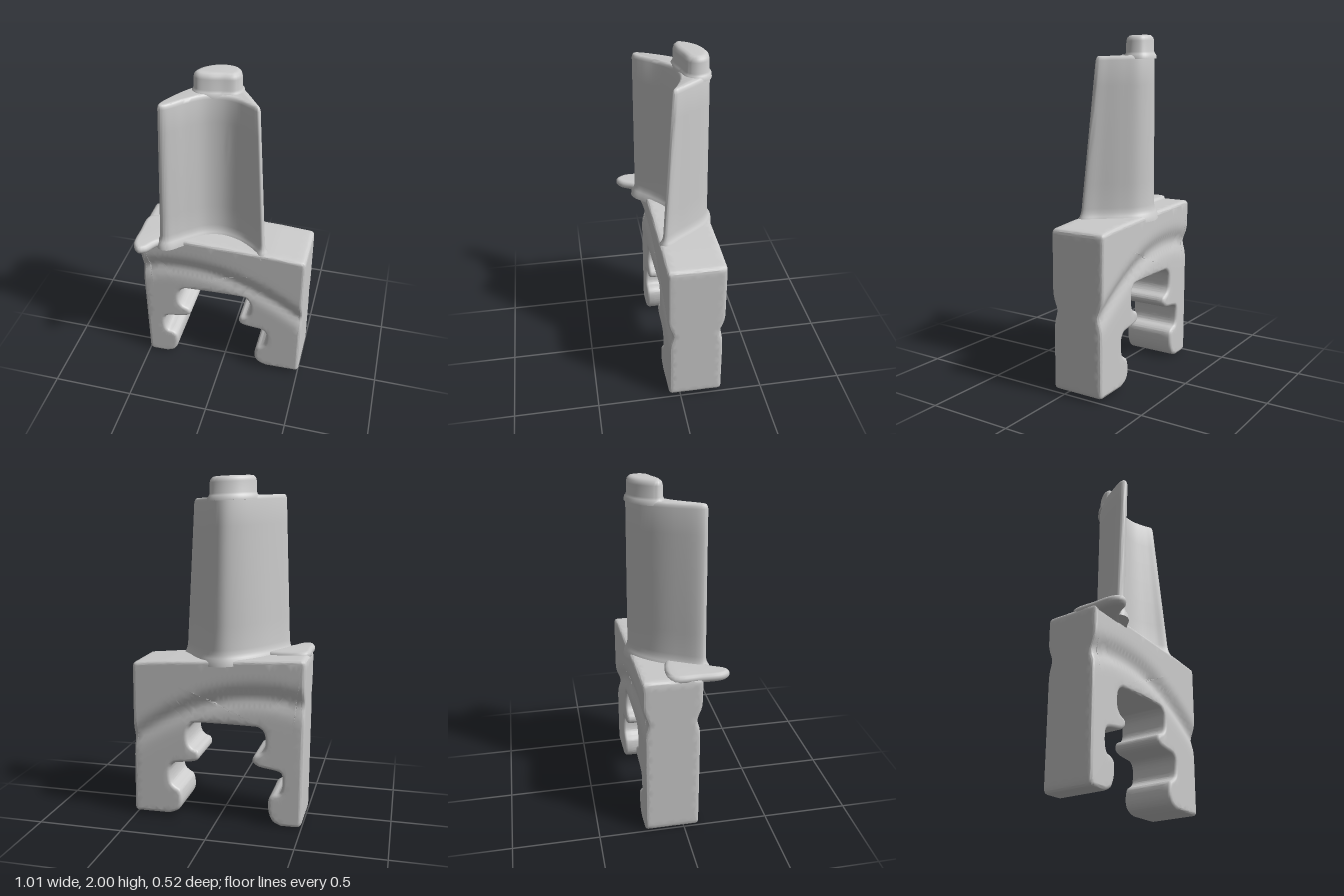
import * as THREE from 'three';
import { toCreasedNormals } from 'three/addons/utils/BufferGeometryUtils.js';

const material = new THREE.MeshStandardMaterial({ color: 0xcccccc });

// Smooth closed outline sampled from a few [x, z] points
function closedOutline(points, count) {
  const curve = new THREE.CatmullRomCurve3(
    points.map(([x, z]) => new THREE.Vector3(x, z, 0)), true, 'centripetal');
  return Array.from({ length: count }, (_, i) => {
    const p = curve.getPoint(i / count);
    return new THREE.Vector2(p.x, p.y);
  });
}

// Move an outline outwards (positive) or inwards (negative)
function offsetOutline(ring, amount) {
  const n = ring.length;
  return ring.map((p, i) => {
    const t = ring[(i + 1) % n].clone().sub(ring[(i + n - 1) % n]).normalize();
    return new THREE.Vector2(p.x + t.y * amount, p.y - t.x * amount);
  });
}

// Loft from a lower outline to an upper one; levels are [y, blend, offset]
function loft(name, lower, upper, levels, count, slope = -0.05) {
  const a = closedOutline(lower, count);
  const b = closedOutline(upper, count);
  if (THREE.ShapeUtils.area(a) < 0) {
    a.reverse();
    b.reverse();
  }
  const positions = [], index = [];
  const rings = levels.map(([y, blend, offset]) => {
    const ring = offsetOutline(a.map((p, i) => p.clone().lerp(b[i], blend)), offset);
    ring.forEach((p) => positions.push(p.x, y + slope * p.x, p.y));
    return ring;
  });
  for (let k = 0; k < rings.length - 1; k++) {
    for (let i = 0; i < count; i++) {
      const p = k * count + i, q = k * count + (i + 1) % count;
      index.push(p, p + count, q, q, p + count, q + count);
    }
  }
  const top = (rings.length - 1) * count;
  for (const [i, j, k] of THREE.ShapeUtils.triangulateShape(rings[0], [])) index.push(i, j, k);
  for (const [i, j, k] of THREE.ShapeUtils.triangulateShape(rings[rings.length - 1], [])) {
    index.push(top + i, top + k, top + j);
  }
  const geometry = new THREE.BufferGeometry();
  geometry.setAttribute('position', new THREE.Float32BufferAttribute(positions, 3));
  geometry.setIndex(index);
  const mesh = new THREE.Mesh(toCreasedNormals(geometry, 0.9), material);
  mesh.name = name;
  return mesh;
}

// Halve the longest edges until every edge is shorter than the limit
function refine(geometry, limit) {
  const pos = geometry.attributes.position;
  const out = [];
  const split = (a, b, c) => {
    const ab = a.distanceTo(b), bc = b.distanceTo(c), ca = c.distanceTo(a);
    if (Math.max(ab, bc, ca) < limit) {
      for (const p of [a, b, c]) out.push(p.x, p.y, p.z);
      return;
    }
    // Turn the corners so that the longest edge runs from p to q
    let [p, q, r] = [a, b, c];
    if (bc > ab && bc >= ca) [p, q, r] = [b, c, a];
    else if (ca > ab) [p, q, r] = [c, a, b];
    const m = p.clone().add(q).multiplyScalar(0.5);
    split(r, p, m);
    split(m, q, r);
  };
  const at = (i) => new THREE.Vector3().fromBufferAttribute(pos, i);
  for (let i = 0; i < pos.count; i += 3) split(at(i), at(i + 1), at(i + 2));
  const result = new THREE.BufferGeometry();
  result.setAttribute('position', new THREE.Float32BufferAttribute(out, 3));
  return result;
}

// Forked root block with a notched slot and a curved groove on both faces
function rootBlock() {
  const slot = [
    [-0.38, 0.005], [-0.33, 0.03], [-0.305, 0.09], [-0.305, 0.16], [-0.33, 0.19], [-0.37, 0.205],
    [-0.385, 0.25], [-0.38, 0.32], [-0.34, 0.34], [-0.25, 0.355], [-0.21, 0.385], [-0.22, 0.42],
    [-0.26, 0.44], [-0.283, 0.48], [-0.28, 0.55], [-0.25, 0.587], [-0.19, 0.595], [0.1, 0.597],
    [0.155, 0.58], [0.175, 0.54], [0.173, 0.475], [0.15, 0.44], [0.115, 0.425], [0.105, 0.39],
    [0.13, 0.362], [0.2, 0.35], [0.26, 0.34], [0.285, 0.3], [0.28, 0.225], [0.255, 0.195],
    [0.222, 0.17], [0.212, 0.1], [0.235, 0.05], [0.29, 0.025],
  ];
  const shape = new THREE.Shape();
  shape.moveTo(-0.47, 0.005);
  shape.lineTo(...slot[0]);
  shape.splineThru(slot.slice(1).map(([x, y]) => new THREE.Vector2(x, y)));
  shape.lineTo(0.48, 0.025);
  shape.quadraticCurveTo(0.505, 0.025, 0.505, 0.05);
  shape.lineTo(0.5, 0.915);
  shape.quadraticCurveTo(0.5, 0.945, 0.47, 0.945);
  shape.lineTo(0.3, 0.96);
  shape.lineTo(-0.48, 0.995);
  shape.quadraticCurveTo(-0.51, 0.995, -0.51, 0.965);
  shape.lineTo(-0.5, 0.04);
  shape.quadraticCurveTo(-0.5, 0.005, -0.47, 0.005);

  const bevel = 0.02;
  const geometry = refine(new THREE.ExtrudeGeometry(shape, {
    depth: 0.34 - 2 * bevel, curveSegments: 3, bevelEnabled: true,
    bevelThickness: bevel, bevelSize: bevel, bevelOffset: -bevel, bevelSegments: 3,
  }).translate(0, 0, bevel - 0.17), 0.045);

  // Press in the groove, thin the legs a little and skew the block
  const pos = geometry.attributes.position;
  for (let i = 0; i < pos.count; i++) {
    const x = pos.getX(i), y = pos.getY(i);
    const d = y - (0.765 - 0.5 * (x + 0.25) ** 2);
    const groove = Math.exp(-((d / 0.055) ** 2));
    const below = 1 - THREE.MathUtils.smoothstep(d, -0.1, 0.05);
    pos.setZ(i, pos.getZ(i) * (1 - 0.16 * groove - 0.06 * below) - 0.08 - 0.02 * x);
  }
  const mesh = new THREE.Mesh(toCreasedNormals(geometry, 0.7), material);
  mesh.name = 'rootBlock';
  return mesh;
}

export function createModel() {
  const group = new THREE.Group();
  group.name = 'turbineBlade';
  group.add(rootBlock());

  // Thin corner lip reaching forward from the platform
  const lip = [
    [-0.49, -0.08], [-0.506, 0.08], [-0.5, 0.21], [-0.462, 0.253], [-0.42, 0.235],
    [-0.375, 0.165], [-0.32, 0.125], [-0.25, 0.08], [-0.24, -0.05],
  ];
  group.add(loft('platformLip', lip, lip, [
    [0.935, 0, -0.025], [0.94, 0, -0.012], [0.952, 0, -0.002], [0.965, 0, 0],
    [0.978, 0, -0.003], [0.987, 0, -0.012], [0.989, 0, -0.024],
  ], 48));

  // Curved airfoil, crescent in section and narrowing upwards
  const base = [
    [-0.362, 0.125], [-0.30, 0.0], [-0.22, -0.12], [-0.12, -0.21], [-0.03, -0.245],
    [0.06, -0.215], [0.135, -0.13], [0.2, -0.03], [0.25, 0.045], [0.235, 0.062],
    [0.18, 0.02], [0.09, -0.032], [-0.02, -0.055], [-0.12, -0.03], [-0.21, 0.04],
    [-0.27, 0.1], [-0.315, 0.143], [-0.345, 0.147],
  ];
  const tip = [
    [-0.33, 0.125], [-0.28, 0.0], [-0.205, -0.12], [-0.12, -0.205], [-0.04, -0.24],
    [0.04, -0.21], [0.1, -0.14], [0.15, -0.07], [0.185, -0.015], [0.175, 0.0],
    [0.125, -0.025], [0.05, -0.058], [-0.03, -0.066], [-0.12, -0.038], [-0.2, 0.035],
    [-0.25, 0.1], [-0.292, 0.143], [-0.318, 0.147],
  ];
  const foil = [[0.94, 0, 0.025], [0.97, 0, 0.02], [0.985, 0, 0.01], [1.005, 0, 0.003], [1.03, 0.02, 0]];
  for (let i = 1; i <= 6; i++) foil.push([1.03 + 0.138 * i, 0.02 + 0.16 * i, 0]);
  foil.push([1.871, 1, -0.003], [1.879, 1, -0.008], [1.882, 1, -0.014]);
  group.add(loft('airfoil', base, tip, foil, 96));

  // Rounded stub on top of the airfoil
  const stub = [
    [-0.198, -0.085], [-0.185, -0.135], [-0.12, -0.205], [-0.03, -0.235], [0.035, -0.215],
    [0.056, -0.155], [0.03, -0.105], [-0.04, -0.082], [-0.11, -0.06], [-0.17, -0.058],
  ];
  group.add(loft('tipStub', stub, stub, [
    [1.86, 0, 0.012], [1.88, 0, 0.01], [1.888, 0, 0.003], [1.9, 0, -0.002], [1.96, 0, -0.003],
    [1.978, 0, -0.008], [1.989, 0, -0.02], [1.992, 0, -0.035],
  ], 56));

  return group;
}
